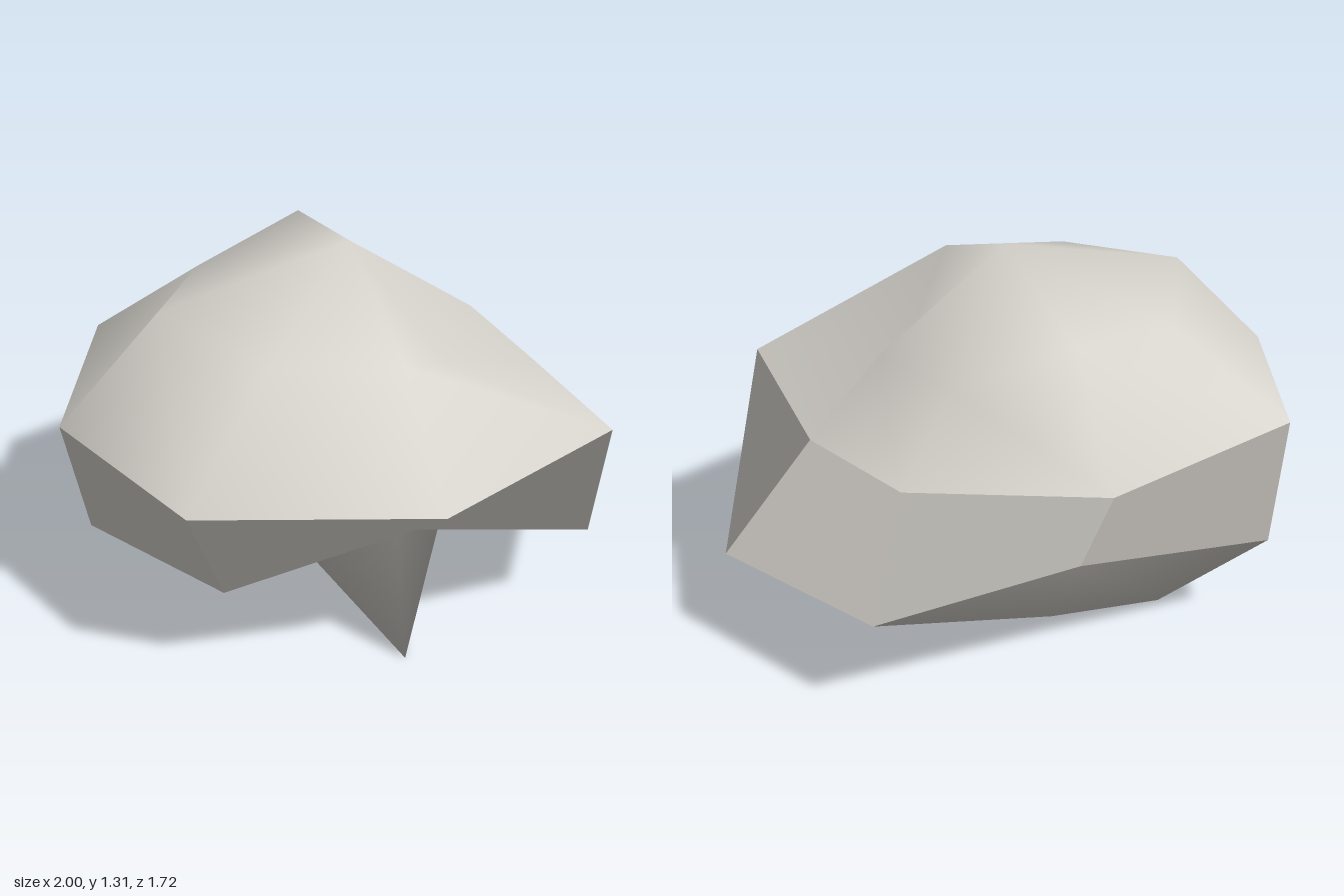
import * as THREE from 'three';

// Rings of a dented boulder, top to bottom.
// Each runs left side (-x), front-left, front, front-right, right (+x), back-right, back, back-left.
const RINGS = [
  [[-0.65, 1.16, -0.03], [-0.4, 1.12, 0.36], [0, 1.12, 0.49], [0.25, 0.93, 0.2],
    [0.44, 0.99, -0.03], [0.3, 0.96, -0.32], [0, 1.17, -0.59], [-0.42, 1.1, -0.42]],
  [[-1, 0.8, -0.03], [-0.74, 0.8, 0.61], [0, 0.8, 0.86], [0.69, 0.8, 0.58],
    [0.69, 0.73, -0.03], [0.55, 0.75, -0.51], [0, 0.79, -0.86], [-0.74, 0.8, -0.66]],
  [[-0.93, 0.39, -0.03], [-0.61, 0.41, 0.5], [0, 0.47, 0.44], [0.65, 0.39, 0.55],
    [1, 0.37, -0.03], [0.7, 0.38, -0.64], [0, 0.43, -0.65], [-0.7, 0.36, -0.65]],
  [[-0.48, 0.12, -0.03], [-0.25, 0.29, 0.2], [0, 0, 0.54], [0.25, 0.26, 0.2],
    [0.38, 0.22, -0.03], [0.34, 0.15, -0.33], [0, 0.11, -0.44], [-0.43, 0.04, -0.4]],
];
const TOP = [0, 1.31, -0.03];
const BOTTOM = [0, 0.04, -0.03];
const N = 8;
const FRONT_LEFT = 1;

// Two triangles between neighbouring columns i and j; a = upper start, b = lower start
function quad(a, b, i, j, flip) {
  return flip
    ? [a + i, b + i, a + j, a + j, b + i, b + j]
    : [a + j, a + i, b + j, a + i, b + i, b + j];
}

// Smooth cap: two rings and a pole, sharing their normals
function capGeometry(upper, lower, pole, poleOnTop) {
  const index = [];
  for (let i = 0; i < N; i++) {
    const j = (i + 1) % N;
    index.push(...quad(0, N, i, j, !poleOnTop && i === FRONT_LEFT));
    index.push(...(poleOnTop ? [2 * N, i, j] : [N + i, 2 * N, N + j]));
  }
  const geometry = new THREE.BufferGeometry();
  geometry.setAttribute('position',
    new THREE.Float32BufferAttribute([...upper, ...lower, pole].flat(), 3));
  geometry.setIndex(index);
  geometry.computeVertexNormals();
  return geometry;
}

// Rim of broad facets, each with one normal; the two front columns make one facet
function rimGeometry(upper, lower) {
  const points = [...upper, ...lower].map((p) => new THREE.Vector3(...p));
  const positions = [], normals = [];
  for (const columns of [[0], [1, 2], [3], [4], [5], [6], [7]]) {
    const corners = columns
      .flatMap((i) => quad(0, N, i, (i + 1) % N, i === FRONT_LEFT))
      .map((k) => points[k]);
    const normal = new THREE.Vector3();
    for (let k = 0; k < corners.length; k += 3) {
      const [a, b, c] = corners.slice(k, k + 3);
      normal.add(b.clone().sub(a).cross(c.clone().sub(a)));
    }
    normal.normalize();
    for (const p of corners) {
      positions.push(...p.toArray());
      normals.push(...normal.toArray());
    }
  }
  const geometry = new THREE.BufferGeometry();
  geometry.setAttribute('position', new THREE.Float32BufferAttribute(positions, 3));
  geometry.setAttribute('normal', new THREE.Float32BufferAttribute(normals, 3));
  return geometry;
}

export function createModel() {
  const group = new THREE.Group();
  group.name = 'rock';
  const stone = new THREE.MeshStandardMaterial({ color: 0xd8d5ce });
  stone.name = 'stone grey';
  const add = (name, geometry) => {
    const mesh = new THREE.Mesh(geometry, stone);
    mesh.name = name;
    group.add(mesh);
  };
  add('crown', capGeometry(RINGS[0], RINGS[1], TOP, true));
  add('rim', rimGeometry(RINGS[1], RINGS[2]));
  add('underside', capGeometry(RINGS[2], RINGS[3], BOTTOM, false));
  return group;
}
